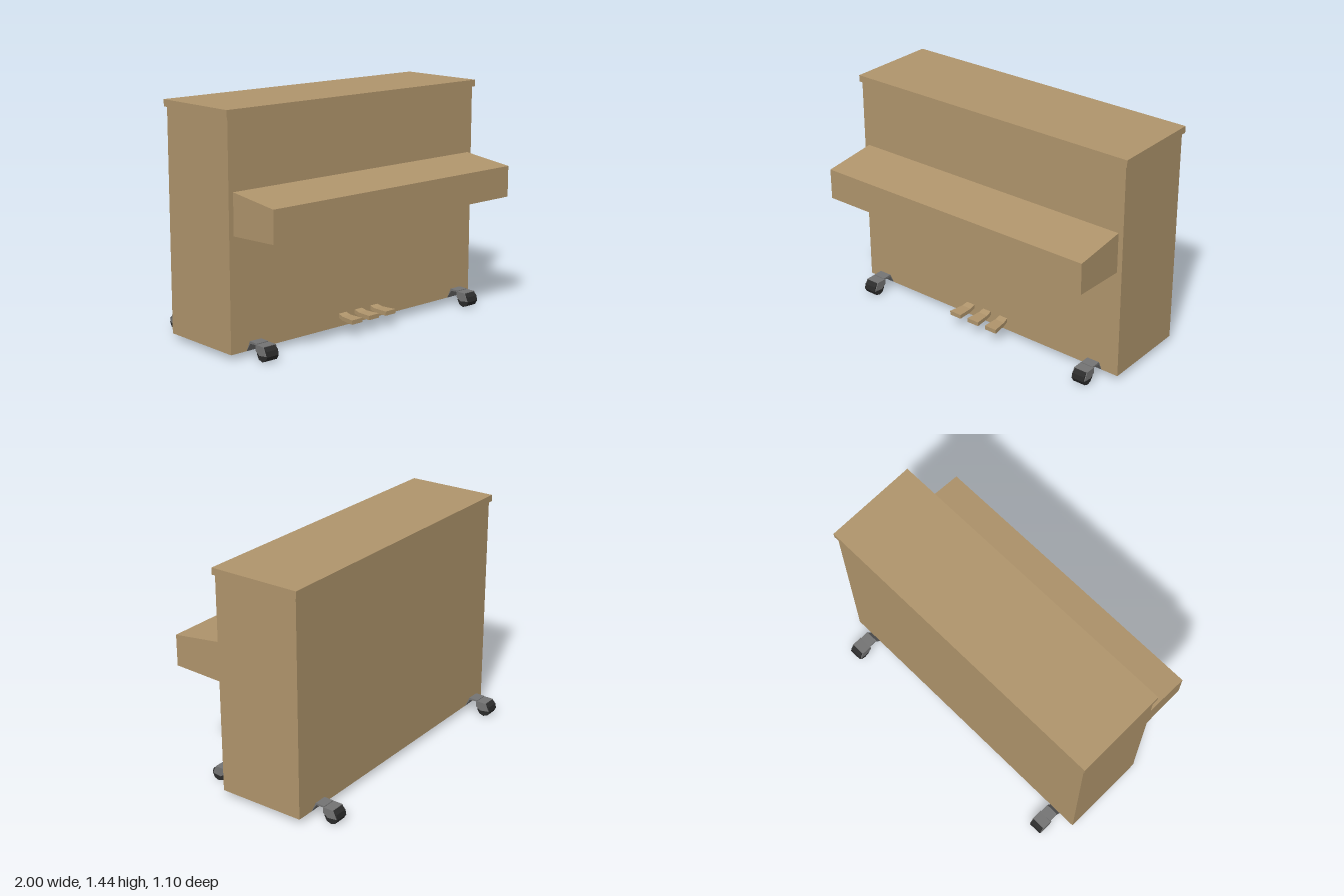
import * as THREE from 'three';

const wood = new THREE.MeshStandardMaterial({ color: 0xb0956c });
wood.name = 'wood';
const metal = new THREE.MeshStandardMaterial({ color: 0x747474, flatShading: true });
metal.name = 'greyMetal';
const rubber = new THREE.MeshStandardMaterial({ color: 0x2b2b2b, flatShading: true });
rubber.name = 'blackRubber';

function add(parent, name, geometry, material) {
  const mesh = new THREE.Mesh(geometry, material);
  mesh.name = name;
  parent.add(mesh);
  return mesh;
}

// Box given by its lower and upper limits on each axis
function box([x0, x1], [y0, y1], [z0, z1]) {
  return new THREE.BoxGeometry(x1 - x0, y1 - y0, z1 - z0)
    .translate((x0 + x1) / 2, (y0 + y1) / 2, (z0 + z1) / 2);
}

// Side profile of [z, y] points, extruded along x and centred on x
function sideExtrude(points, width, x = 0) {
  const shape = new THREE.Shape(points.map(([z, y]) => new THREE.Vector2(-z, y)));
  return new THREE.ExtrudeGeometry(shape, { depth: width, bevelEnabled: false })
    .translate(0, 0, -width / 2).rotateY(Math.PI / 2).translate(x, 0, 0);
}

// Caster whose bracket meets the cabinet at z = 0 and reaches out along +z
function createCaster() {
  const caster = new THREE.Group();
  add(caster, 'bracket', sideExtrude([
    [0, 0.033], [0.03, 0.1], [0.092, 0.099], [0.092, 0.089], [0.034, 0.086],
  ], 0.084), metal);
  add(caster, 'hood', box([-0.047, 0.047], [0.088, 0.094], [0.085, 0.155]), metal);
  // Fork plates on either side of the wheel
  for (const side of [-1, 1]) {
    add(caster, 'forkPlate', sideExtrude([
      [0.085, 0.092], [0.156, 0.092], [0.179, 0.043], [0.121, 0.035], [0.085, 0.058],
    ], 0.005, side * 0.0445), metal);
  }
  const wheel = add(caster, 'wheel',
    new THREE.CylinderGeometry(0.047, 0.047, 0.084, 9).rotateZ(Math.PI / 2), rubber);
  wheel.position.set(0, 0.047, 0.139);
  wheel.rotation.x = 0.17;
  return caster;
}

// Pedal narrowing and leaning toward the middle where it enters the cabinet
function createPedal(x) {
  const geometry = sideExtrude([
    [0.19, 0.117], [0.24, 0.105], [0.34, 0.107], [0.34, 0.08], [0.24, 0.08], [0.19, 0.091],
  ], 0.084);
  const p = geometry.attributes.position;
  for (let i = 0; i < p.count; i++) {
    const t = THREE.MathUtils.clamp((0.34 - p.getZ(i)) / 0.15, 0, 1);
    p.setX(i, p.getX(i) * (1 - 0.3 * t) + x * (1 - 0.07 * t));
  }
  geometry.computeVertexNormals();
  return geometry;
}

export function createModel() {
  const model = new THREE.Group();
  model.name = 'uprightPiano';

  // Cabinet, overhanging lid and keyboard case
  add(model, 'cabinet', box([-0.987, 0.987], [0.033, 1.4], [-0.365, 0.2]), wood);
  add(model, 'lid', box([-1, 1], [1.398, 1.44], [-0.378, 0.212]), wood);
  add(model, 'keyboardCase', sideExtrude([
    [0.195, 0.722], [0.55, 0.736], [0.55, 0.932], [0.195, 0.975],
  ], 1.91), wood);

  // Three pedals
  for (const x of [-0.14, 0, 0.14]) add(model, 'pedal', createPedal(x), wood);

  // Four casters
  for (const x of [-0.832, 0.832]) {
    for (const front of [true, false]) {
      const caster = createCaster();
      caster.name = front ? 'frontCaster' : 'backCaster';
      caster.position.set(x, 0, front ? 0.2 : -0.365);
      if (!front) caster.rotation.y = Math.PI;
      model.add(caster);
    }
  }
  return model;
}
